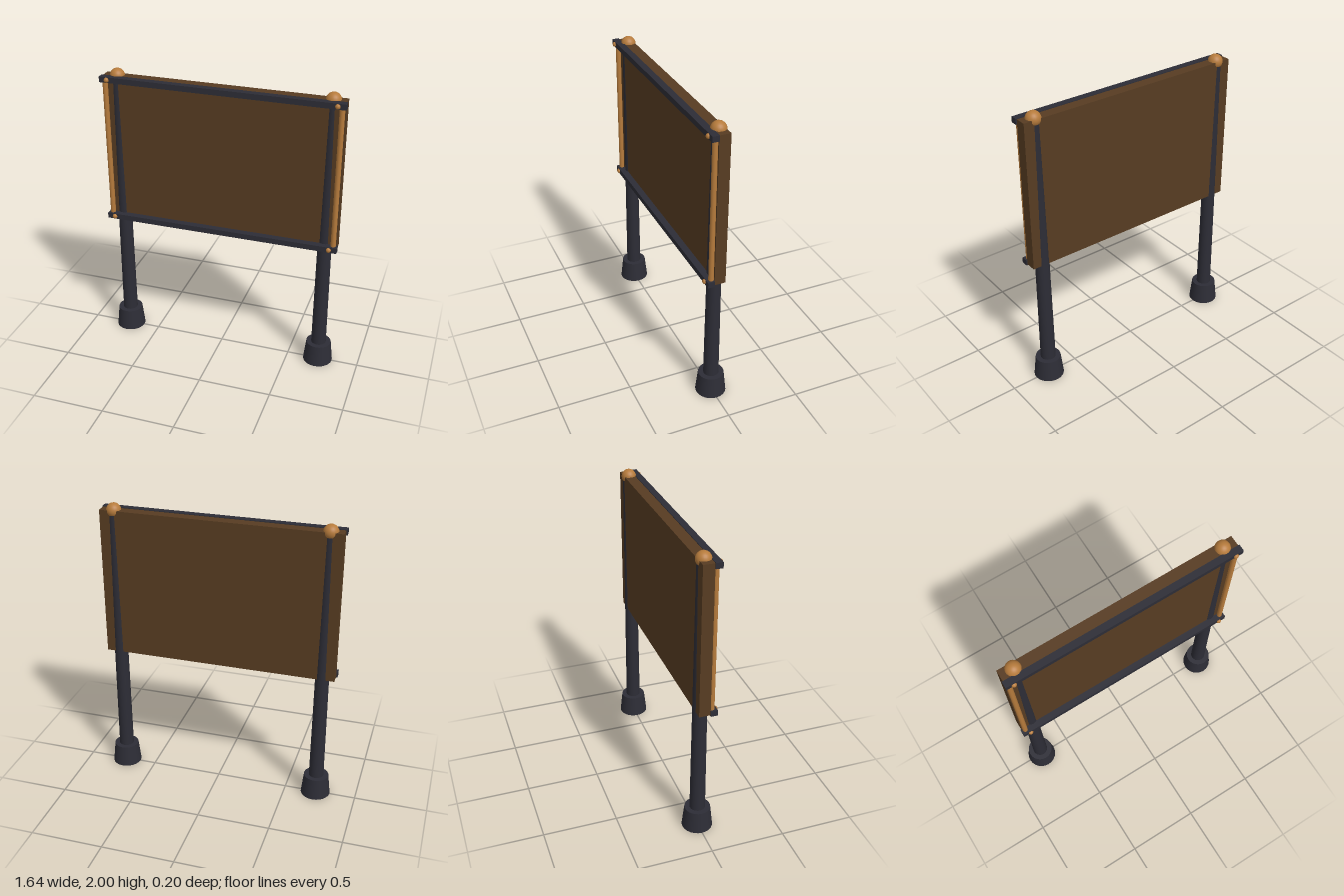
import * as THREE from 'three';

const mat = (name, color) => new THREE.MeshStandardMaterial({ name, color });

export function createModel() {
  const model = new THREE.Group();
  const iron = mat('dark iron', 0x2d2d36);
  const wood = mat('brown wood', 0x573c22);
  const brass = mat('warm brass', 0xb67b3c);

  const add = (name, geometry, material, x, y, z) => {
    const mesh = new THREE.Mesh(geometry, material);
    mesh.name = name;
    mesh.position.set(x, y, z);
    model.add(mesh);
    return mesh;
  };

  // Wide board the posts run through
  add('board', new THREE.BoxGeometry(1.61, 1.025, 0.075), wood, 0, 1.4425, 0);

  // Rails across the front, top and bottom
  const railHeights = [0.942, 1.94];
  for (const y of railHeights) {
    add('rail', new THREE.BoxGeometry(1.625, 0.038, 0.046), iron, 0, y, 0.0605);
  }

  for (const side of [-1, 1]) {
    const x = side * 0.7175;
    // Tapered post on a heavy foot, with a ball on top
    add('foot', new THREE.CylinderGeometry(0.086, 0.1025, 0.15, 24), iron, x, 0.075, 0);
    add('post', new THREE.CylinderGeometry(0.041, 0.052, 1.85, 20), iron, x, 1.03, 0);
    add('finial', new THREE.SphereGeometry(0.05, 24, 16), brass, x, 1.95, 0);

    // Slim rod between the rails at the board's edge
    add('edgeRod', new THREE.CylinderGeometry(0.0175, 0.0175, 0.97, 12), brass, side * 0.784, 1.441, 0.052);

    // Domed studs fixing the rails
    for (const y of railHeights) {
      const stud = add('stud', new THREE.SphereGeometry(0.017, 12, 8), brass, side * 0.76, y, 0.084);
      stud.scale.z = 0.9;
    }
  }
  return model;
}
